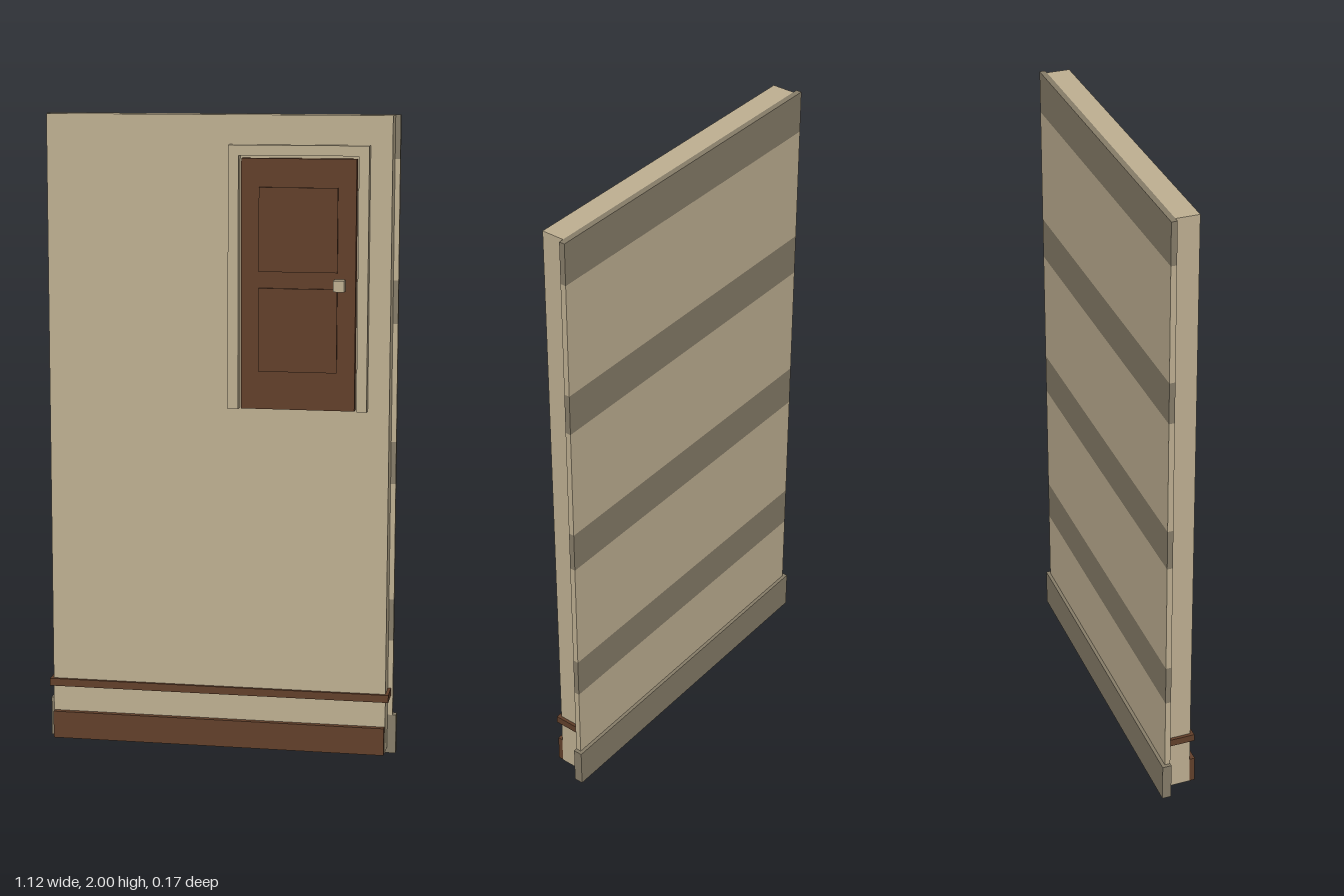
import * as THREE from 'three';

export function createModel() {
  const group = new THREE.Group();
  const mat = (name, color) => {
    const m = new THREE.MeshStandardMaterial({ color });
    m.name = name;
    return m;
  };
  const tan = mat('tan plaster', 0xbfb092);
  const grey = mat('grey brown siding', 0x877d69);
  const brown = mat('dark brown wood', 0x62402b);

  // Box given by its extents along x, y and z
  const box = (name, material, [x0, x1], [y0, y1], [z0, z1]) => {
    const mesh = new THREE.Mesh(new THREE.BoxGeometry(x1 - x0, y1 - y0, z1 - z0), material);
    mesh.position.set((x0 + x1) / 2, (y0 + y1) / 2, (z0 + z1) / 2);
    mesh.name = name;
    group.add(mesh);
  };

  // Wall core with wooden trim
  box('wall', tan, [-0.532, 0.532], [0.02, 2], [-0.055, 0.017]);
  box('skirtingBoard', brown, [-0.53, 0.53], [0.019, 0.106], [-0.03, 0.035]);
  box('chairRail', brown, [-0.542, 0.542], [0.188, 0.212], [-0.055, 0.027]);

  // Rear cladding: wide tan boards alternating with narrow grey bands
  const sidingX = [-0.548, 0.548], sidingZ = [-0.073, -0.055];
  for (let i = 0; i < 4; i++) {
    const top = 2 - i * 0.5;
    box('greyBand', grey, sidingX, [top - 0.133, top], sidingZ);
    box('tanBoard', tan, sidingX, [Math.max(top - 0.5, 0.02), top - 0.133], sidingZ);
  }
  box('foundation', grey, [-0.559, 0.559], [0, 0.125], [-0.084, -0.055]);

  // Door frame
  const frameZ = [0.017, 0.052];
  box('leftJamb', tan, [0.435, 0.466], [1.106, 1.88], frameZ);
  box('rightJamb', tan, [0.038, 0.07], [1.106, 1.88], frameZ);
  box('doorHead', tan, [0.038, 0.466], [1.88, 1.911], frameZ);

  // Door with two raised panels and a square knob
  box('door', brown, [0.078, 0.428], [1.108, 1.871], [0.017, 0.046]);
  for (const y of [1.225, 1.53]) {
    box('doorPanel', brown, [0.133, 0.373], [y, y + 0.255], [0.046, 0.054]);
  }
  box('doorKnob', tan, [0.364, 0.398], [1.476, 1.51], [0.046, 0.084]);

  return group;
}
